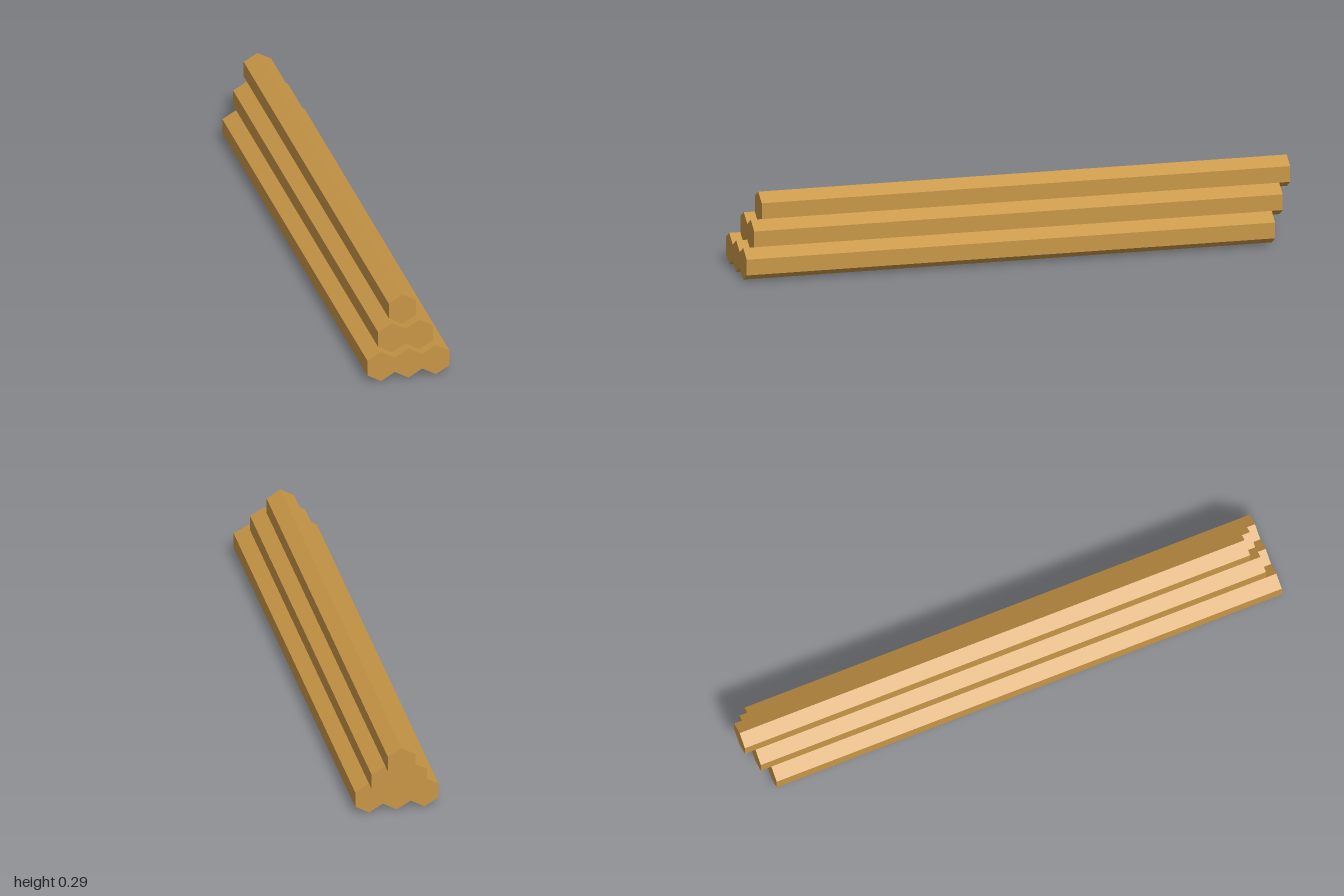
import * as THREE from 'three';

const WIDTH = 0.1;                    // flat-to-flat width of one hexagonal bar
const RADIUS = WIDTH / Math.sqrt(3);  // centre to corner
const LENGTH = 1.92;
const SHIFT = 0.04;                   // each row sits this much further back

// Joined outline of a row of hexagons standing on their points
function rowOutline(count) {
  const bottom = [];
  const top = [];
  for (let i = 0; i <= count * 2; i++) {
    const x = (i - count) * WIDTH / 2;
    const reach = i % 2 ? RADIUS : RADIUS / 2;
    bottom.push(new THREE.Vector2(x, -reach));
    top.unshift(new THREE.Vector2(x, reach));
  }
  return new THREE.Shape([...bottom, ...top]);
}

export function createModel() {
  const group = new THREE.Group();
  group.name = 'barStack';
  const material = new THREE.MeshStandardMaterial({ color: 0xc89646, flatShading: true });

  // Three rows of 3, 2 and 1 bars, nested in the grooves below
  ['bottomRow', 'middleRow', 'topRow'].forEach((name, level) => {
    const geometry = new THREE.ExtrudeGeometry(rowOutline(3 - level), {
      depth: LENGTH, bevelEnabled: false, steps: 1,
    });
    const row = new THREE.Mesh(geometry, material);
    row.name = name;
    row.position.set(0, RADIUS * (1 + 1.5 * level), -LENGTH / 2 + SHIFT * (1 - level));
    group.add(row);
  });

  return group;
}
